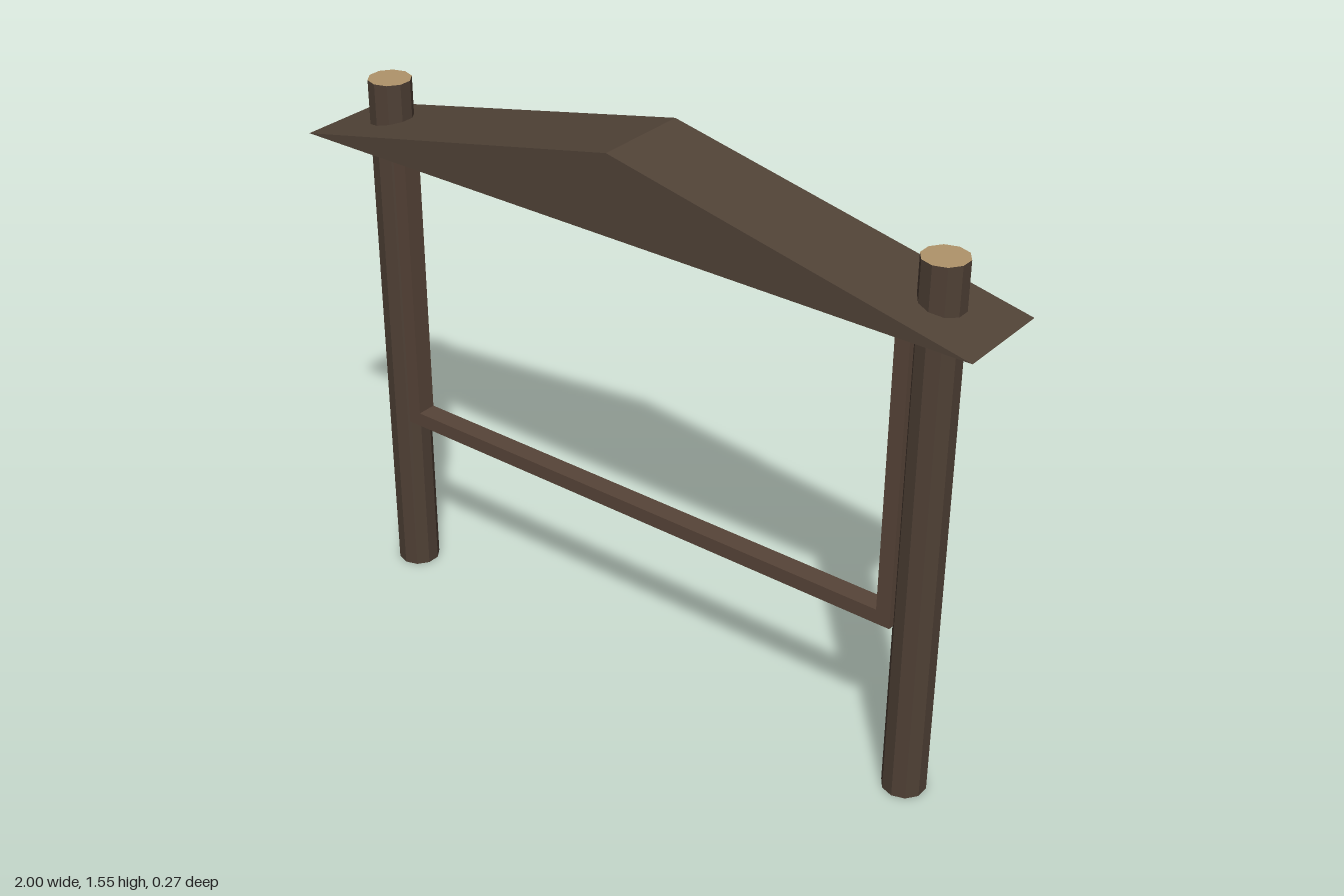
import * as THREE from 'three';

const darkWood = new THREE.MeshStandardMaterial({ name: 'post bark', color: 0x4f4035 });
const roofWood = new THREE.MeshStandardMaterial({ name: 'roof wood', color: 0x514337 });
const frameWood = new THREE.MeshStandardMaterial({ name: 'frame wood', color: 0x574438 });
const cutWood = new THREE.MeshStandardMaterial({ name: 'cut wood', color: 0xb0946a });
for (const m of [darkWood]) m.flatShading = true;

export function createModel() {
  const group = new THREE.Group();
  const add = (name, geometry, material, x, y, z) => {
    const mesh = new THREE.Mesh(geometry, material);
    mesh.name = name;
    mesh.position.set(x, y, z);
    group.add(mesh);
  };

  // Log posts with pale cut ends, and the frame's upright beside each
  const postHeight = 1.485;
  const frameZ = 0.0125, frameDepth = 0.055;
  for (const [side, sign] of [['left', 1], ['right', -1]]) {
    const post = new THREE.CylinderGeometry(0.058, 0.058, postHeight, 10);
    add(side + 'Post', post, [darkWood, cutWood, cutWood], sign * 0.835, postHeight / 2, -0.01);
    add(side + 'FrameUpright', new THREE.BoxGeometry(0.04, 0.75, frameDepth), frameWood,
      sign * 0.77, 0.905, frameZ);
  }

  // Horizontal frame rails
  for (const [name, y] of [['lowerRail', 0.51], ['upperRail', 1.3]]) {
    add(name, new THREE.BoxGeometry(1.58, 0.04, frameDepth), frameWood, 0, y, frameZ);
  }

  // Solid gable roof, pierced by the posts
  const gable = new THREE.Shape([
    new THREE.Vector2(-1, 0), new THREE.Vector2(1, 0), new THREE.Vector2(0, 0.215),
  ]);
  const roof = new THREE.ExtrudeGeometry(gable, { depth: 0.266, bevelEnabled: false });
  add('gableRoof', roof, roofWood, 0, 1.335, -0.133);

  return group;
}
